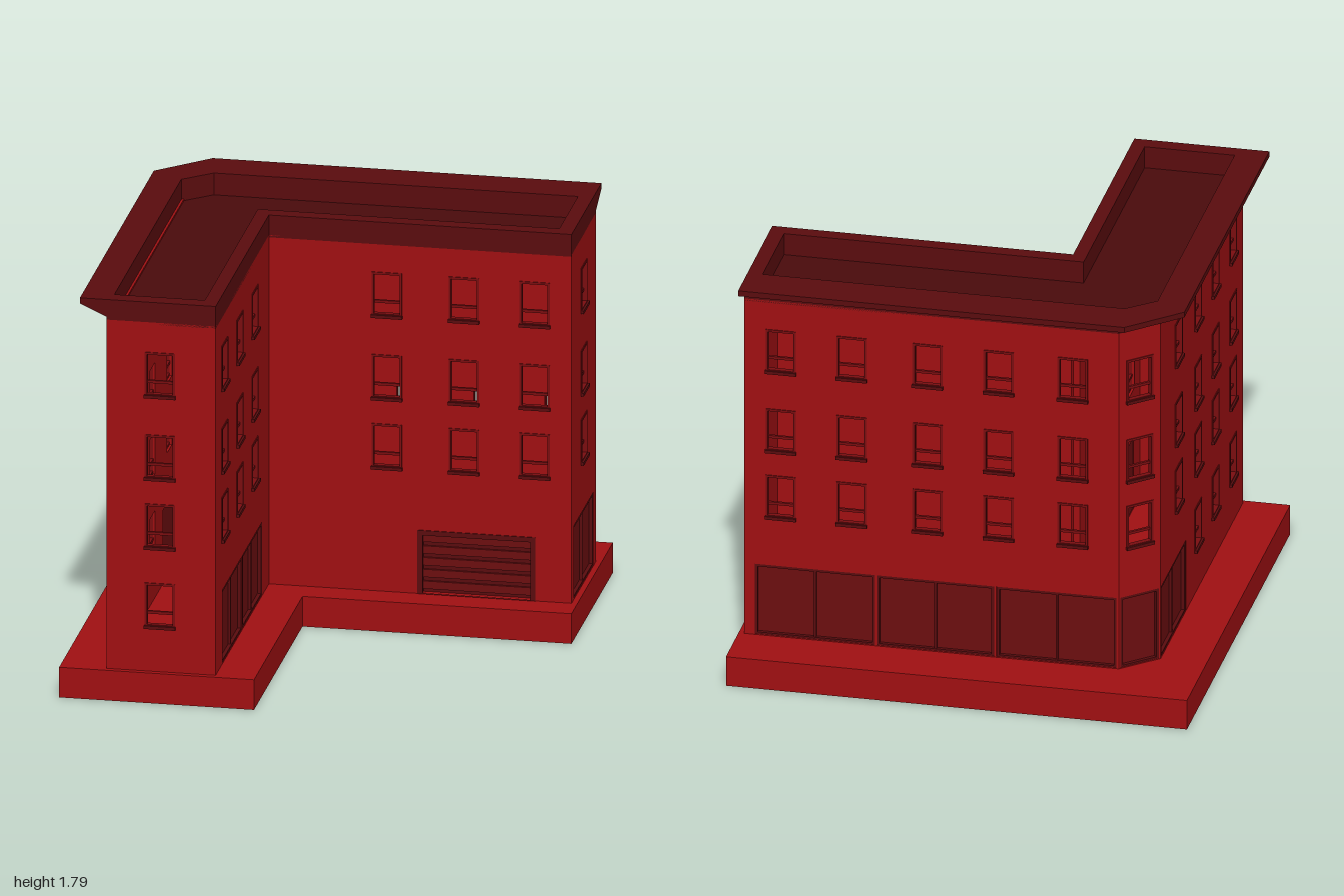
import * as THREE from 'three';

const mat = (color) => new THREE.MeshStandardMaterial({ color, flatShading: true });
const RED = mat(0xa01012), TRIM = mat(0x7a0d10), DARK = mat(0x5a0c0e), GLASS = mat(0x6c0e10), ROOF = mat(0x4a0a0c);

// Plan outlines as [x, z], anticlockwise seen from above
const BASE = [[-1, 1], [-0.16, 1], [-0.16, -0.08], [1, -0.08], [1, -1], [-1, -1]];
const WALL = [[-0.8, 0.975], [-0.33, 0.975], [-0.33, -0.21], [0.975, -0.21], [0.975, -0.755], [-0.65, -0.755], [-0.8, -0.615]];
const CORNICE = [[-0.915, 0.975], [-0.33, 0.975], [-0.33, -0.21], [0.975, -0.21], [0.975, -0.875], [-0.7, -0.875], [-0.915, -0.67]];
const INNER = [[-0.78, 0.905], [-0.39, 0.905], [-0.39, -0.275], [0.91, -0.275], [0.91, -0.69], [-0.66, -0.69], [-0.78, -0.585]];

const GROUND = 0.135, WALL_TOP = 1.7, THICK = 0.03;
const WIN_W = 0.115, WIN_H = 0.19, SHOP_TOP = 0.465;
const FLOORS = [0.69, 1.0, 1.37], ALL_FLOORS = [0.335, ...FLOORS];

function mesh(parent, name, geometry, material) {
  const m = new THREE.Mesh(geometry, material);
  m.name = name;
  parent.add(m);
  return m;
}

// Box given by its limits
function box(parent, name, material, x0, x1, y0, y1, z0, z1) {
  mesh(parent, name, new THREE.BoxGeometry(x1 - x0, y1 - y0, z1 - z0), material)
    .position.set((x0 + x1) / 2, (y0 + y1) / 2, (z0 + z1) / 2);
}

// Flat slab with a plan outline
function slab(parent, name, material, outline, y0, y1) {
  const shape = new THREE.Shape(outline.map(([x, z]) => new THREE.Vector2(x, -z)));
  const geo = new THREE.ExtrudeGeometry(shape, { depth: y1 - y0, bevelEnabled: false });
  geo.rotateX(-Math.PI / 2).translate(0, y0, 0);
  mesh(parent, name, geo, material);
}

function rectPath(x0, x1, y0, y1) {
  return new THREE.Path([[x0, y0], [x1, y0], [x1, y1], [x0, y1]].map((p) => new THREE.Vector2(...p)));
}

// Rectangular frame of four bars
function frame(parent, name, material, x0, x1, y0, y1, w, z0, z1) {
  box(parent, name, material, x0, x0 + w, y0, y1, z0, z1);
  box(parent, name, material, x1 - w, x1, y0, y1, z0, z1);
  box(parent, name, material, x0 + w, x1 - w, y1 - w, y1, z0, z1);
  box(parent, name, material, x0 + w, x1 - w, y0, y0 + w, z0, z1);
}

// Open sash window: outer trim, sash rail and sill
function addWindow(parent, u, y) {
  const g = new THREE.Group();
  g.name = 'window';
  g.position.set(u, y, 0);
  parent.add(g);
  const h = WIN_W / 2;
  frame(g, 'windowTrim', TRIM, -h - 0.008, h + 0.008, 0, WIN_H + 0.006, 0.01, -0.02, 0.004);
  box(g, 'sashRail', TRIM, -h, h, 0.054, 0.066, -0.022, -0.01);
  box(g, 'windowSill', DARK, -h - 0.01, h + 0.01, -0.008, 0.006, -0.02, 0.013);
}

// Shop glazing with dark mullions
function addShop(parent, x0, x1, panes) {
  const g = new THREE.Group();
  g.name = 'shopfront';
  parent.add(g);
  box(g, 'shopGlass', GLASS, x0, x1, GROUND, SHOP_TOP, -0.028, -0.018);
  frame(g, 'shopFrame', DARK, x0, x1, GROUND, SHOP_TOP, 0.012, -0.02, -0.002);
  for (let i = 1; i < panes; i++) {
    const x = x0 + (x1 - x0) * i / panes;
    box(g, 'shopMullion', DARK, x - 0.005, x + 0.005, GROUND, SHOP_TOP, -0.02, -0.006);
  }
}

// Slatted roller door
function addGarage(parent, x0, x1, top) {
  const g = new THREE.Group();
  g.name = 'garageDoor';
  parent.add(g);
  frame(g, 'garageFrame', DARK, x0, x1, GROUND - 0.02, top, 0.022, -THICK, 0.004);
  box(g, 'garagePanel', DARK, x0, x1, GROUND, top, -0.03, -0.024);
  const n = 5, step = (top - 0.022 - GROUND) / n;
  for (let i = 0; i < n; i++) {
    box(g, 'garageSlat', GLASS, x0 + 0.02, x1 - 0.02, GROUND + i * step + 0.018, GROUND + (i + 1) * step, -0.026, -0.014);
  }
}

// One wall along an outline edge; distances run from the edge's start
function addWall(parent, i, spec) {
  const a = WALL[i], b = WALL[(i + 1) % WALL.length];
  const dx = b[0] - a[0], dz = b[1] - a[1], len = Math.hypot(dx, dz);
  const g = new THREE.Group();
  g.name = spec.name;
  g.position.set(a[0], 0, a[1]);
  g.rotation.y = Math.atan2(-dz, dx);
  parent.add(g);

  const shape = new THREE.Shape(rectPath(0, len, GROUND, WALL_TOP).getPoints());
  for (const [u, floors] of spec.windows) {
    for (const y of floors) {
      shape.holes.push(rectPath(u - WIN_W / 2, u + WIN_W / 2, y, y + WIN_H));
      addWindow(g, u, y);
    }
  }
  for (const [x0, x1, panes] of spec.shops || []) {
    shape.holes.push(rectPath(x0, x1, GROUND + 0.003, SHOP_TOP));
    addShop(g, x0, x1, panes);
  }
  if (spec.garage) {
    const [x0, x1, top] = spec.garage;
    shape.holes.push(rectPath(x0, x1, GROUND + 0.003, top));
    addGarage(g, x0, x1, top);
  }
  const geo = new THREE.ExtrudeGeometry(shape, { depth: THICK, bevelEnabled: false });
  mesh(g, 'wallPanel', geo.translate(0, 0, -THICK), RED);
}

// Parapet ring with the flared cornice on the street sides
function parapetGeometry() {
  const rings = [[WALL, 1.69], [WALL, 1.712], [CORNICE, 1.765], [CORNICE, 1.79], [INNER, 1.79], [INNER, 1.69]];
  const n = WALL.length, pos = [];
  rings.forEach(([lo, y0], r) => {
    const [hi, y1] = rings[(r + 1) % rings.length];
    for (let i = 0; i < n; i++) {
      const j = (i + 1) % n;
      const A = [lo[i][0], y0, lo[i][1]], B = [lo[j][0], y0, lo[j][1]];
      const C = [hi[j][0], y1, hi[j][1]], D = [hi[i][0], y1, hi[i][1]];
      pos.push(...A, ...B, ...C, ...A, ...C, ...D);
    }
  });
  const geo = new THREE.BufferGeometry();
  geo.setAttribute('position', new THREE.Float32BufferAttribute(pos, 3));
  geo.computeVertexNormals();
  return geo;
}

export function createModel() {
  const model = new THREE.Group();
  model.name = 'cornerBuilding';

  slab(model, 'pavement', RED, BASE, 0, GROUND);

  const columns = (start, dir, list, floors) => list.map((c) => [(c - start) * dir, floors]);
  const walls = [
    { name: 'frontEndWall', windows: [[0.23, ALL_FLOORS]] },
    { name: 'courtSideWall', windows: columns(0.975, -1, [0.78, 0.44, 0.105], FLOORS),
      shops: [[0.155, 0.588, 2], [0.603, 1.037, 2]] },
    { name: 'courtBackWall', windows: columns(-0.33, 1, [0.178, 0.51, 0.817], FLOORS), garage: [0.64, 1.15, 0.42] },
    { name: 'sideEndWall', windows: [[0.272, FLOORS]], shops: [[0.055, 0.49, 2]] },
    { name: 'rearWall', windows: columns(0.975, -1, [0.817, 0.51, 0.178, -0.13, -0.45], FLOORS),
      shops: [[0.045, 0.565, 2], [0.575, 1.085, 2], [1.095, 1.615, 2]] },
    { name: 'cornerWall', windows: [[0.1026, FLOORS]], shops: [[0.008, 0.197, 1]] },
    { name: 'streetWall', windows: [[0.345, FLOORS], ...columns(-0.615, 1, [0.105, 0.44, 0.78], ALL_FLOORS)],
      shops: [[0.012, 0.485, 2]] },
  ];
  walls.forEach((spec, i) => addWall(model, i, spec));

  mesh(model, 'parapet', parapetGeometry(), DARK);
  slab(model, 'roof', ROOF, INNER, 1.67, 1.692);
  return model;
}
